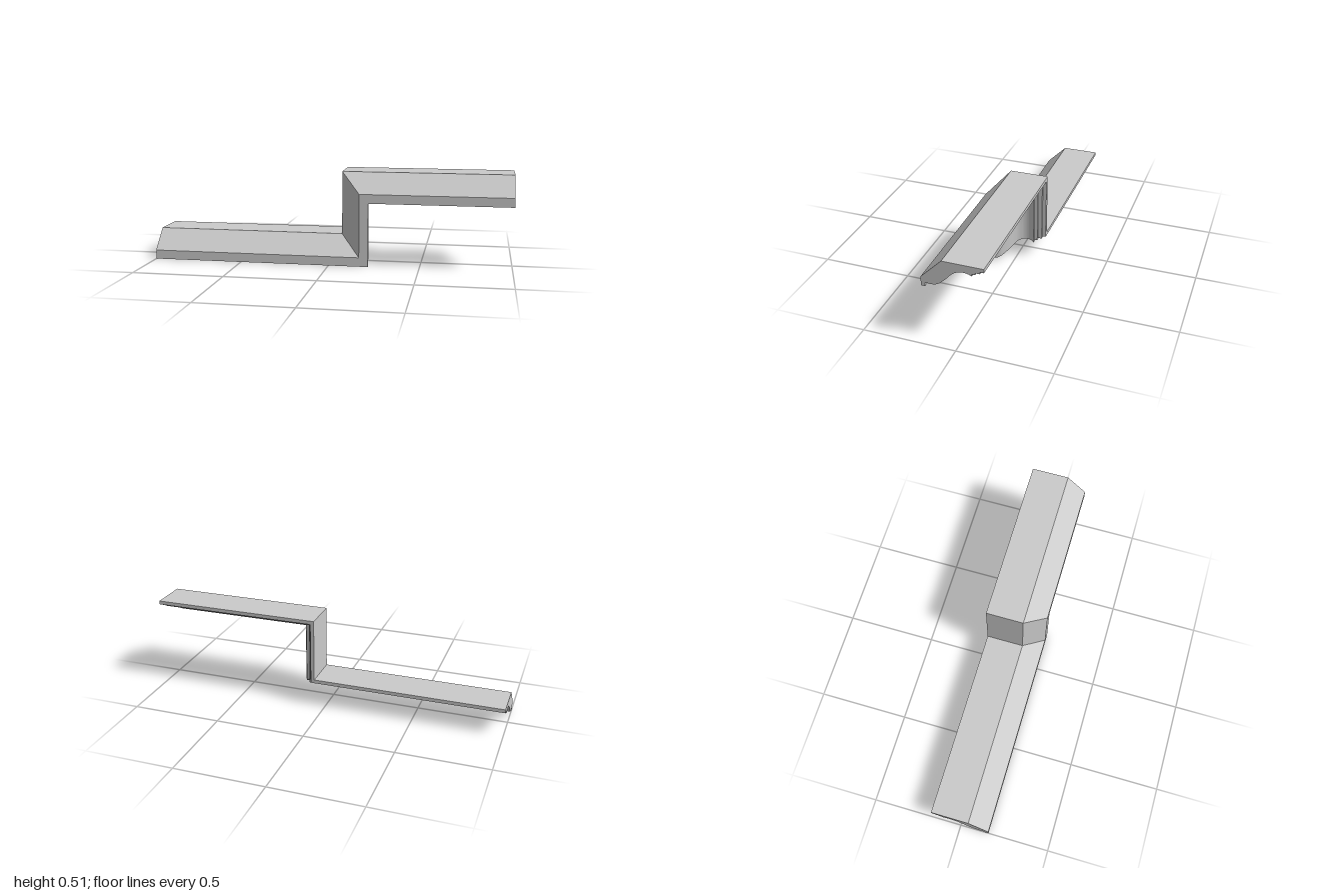
import * as THREE from 'three';
import { toCreasedNormals } from 'three/addons/utils/BufferGeometryUtils.js';

// Moulding cross-section as (z, height), counter-clockwise
function mouldingProfile() {
  const p = (z, h) => new THREE.Vector2(z, h);
  const cove = new THREE.SplineCurve([
    p(-0.1, 0.109), p(-0.08, 0.117), p(-0.055, 0.12), p(-0.03, 0.115), p(0, 0.098),
    p(0.037, 0.058), p(0.073, 0.028), p(0.105, 0.019), p(0.139, 0.021),
  ]).getPoints(40);
  return [
    p(0.16, 0), p(0.16, 0.05), p(0.05, 0.16), p(-0.16, 0.16),
    // stepped fillets at the back
    p(-0.16, 0.14), p(-0.14, 0.14), p(-0.14, 0.13), p(-0.117, 0.13),
    p(-0.117, 0.12), p(-0.1, 0.12),
    // S-curved underside
    ...cove,
    p(0.139, 0),
  ];
}

// Sweep the profile along a mitred step: low run, riser, high run
function steppedMoulding(profile) {
  const rise = 0.352, riserX = 0.22;
  const stations = [
    ({ x: z, y: h }) => [-1, h, z],
    ({ x: z, y: h }) => [riserX - h, h, z],
    ({ x: z, y: h }) => [riserX - h, rise + h, z],
    ({ x: z, y: h }) => [1, rise + h, z],
  ];
  const pos = [];
  const tri = (...corners) => corners.forEach((c) => pos.push(...c));

  for (let s = 0; s < stations.length - 1; s++) {
    profile.forEach((p, i) => {
      const q = profile[(i + 1) % profile.length];
      const a = stations[s](p), b = stations[s + 1](p);
      const c = stations[s + 1](q), d = stations[s](q);
      tri(a, b, c);
      tri(a, c, d);
    });
  }

  // end caps
  for (const [i, j, k] of THREE.ShapeUtils.triangulateShape(profile, [])) {
    tri(...[i, j, k].map((n) => stations[0](profile[n])));
    tri(...[k, j, i].map((n) => stations[3](profile[n])));
  }

  const geo = new THREE.BufferGeometry();
  geo.setAttribute('position', new THREE.Float32BufferAttribute(pos, 3));
  return toCreasedNormals(geo, 0.5);
}

export function createModel() {
  const group = new THREE.Group();
  group.name = 'steppedCornice';
  const moulding = new THREE.Mesh(
    steppedMoulding(mouldingProfile()),
    new THREE.MeshStandardMaterial({ color: 0xcccccc }),
  );
  moulding.name = 'moulding';
  group.add(moulding);
  return group;
}
